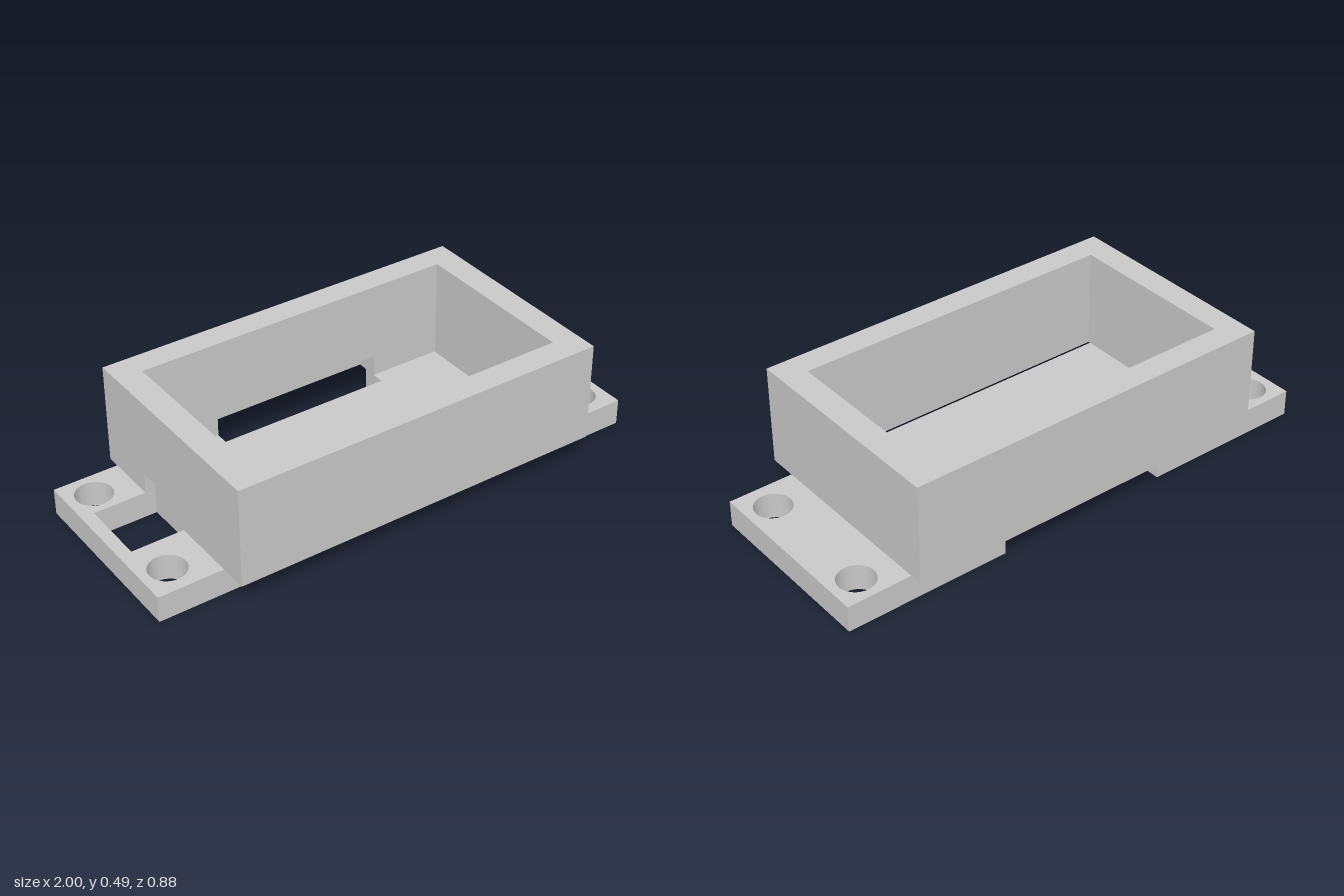
import * as THREE from 'three';
import { toCreasedNormals } from 'three/addons/utils/BufferGeometryUtils.js';

const PLATE_TOP = 0.103, RECESS_TOP = 0.188, RIM = 0.494;

// outlines are drawn in plan as [x, z]; shape y is -z
const points = (list) => list.map(([x, z]) => new THREE.Vector2(x, -z));
const rect = (x0, x1, z0, z1) => [[x0, z1], [x1, z1], [x1, z0], [x0, z0]];

// raise a plan shape from height y0 to y1
function slab(name, shape, y0, y1, material) {
  const geo = new THREE.ExtrudeGeometry(shape, { depth: y1 - y0, bevelEnabled: false, curveSegments: 32 });
  geo.rotateX(-Math.PI / 2);
  geo.translate(0, y0, 0);
  const mesh = new THREE.Mesh(toCreasedNormals(geo, 0.6), material);
  mesh.name = name;
  return mesh;
}

export function createModel() {
  const model = new THREE.Group();
  model.name = 'housing';
  const grey = new THREE.MeshStandardMaterial({ color: 0xc8c8c8 });
  grey.name = 'grey';

  // mounting plate, notched at the back, with a side slot and four screw holes
  const plate = new THREE.Shape(points([
    [-1, 0.33], [1, 0.33], [1, -0.39], [0.35, -0.39],
    [0.35, -0.29], [-0.35, -0.29], [-0.35, -0.39], [-1, -0.39],
  ]));
  plate.holes.push(new THREE.Path(points(rect(-0.95, -0.705, -0.19, 0.07))));
  for (const x of [-0.895, 0.895]) {
    for (const z of [-0.288, 0.215]) {
      plate.holes.push(new THREE.Path().absarc(x, -z, 0.07, 0, Math.PI * 2));
    }
  }
  model.add(slab('mountingPlate', plate, 0, PLATE_TOP, grey));

  // lower wall: recess outside the right end and inside the back
  const lower = new THREE.Shape(points([
    [-0.745, 0.44], [0.745, 0.44], [0.745, -0.44], [-0.745, -0.44],
    [-0.745, -0.19], [-0.705, -0.19], [-0.705, 0.07], [-0.745, 0.07],
  ]));
  lower.holes.push(new THREE.Path(points([
    [-0.643, 0.338], [0.643, 0.338], [0.643, -0.34], [0.35, -0.34],
    [0.35, -0.43], [-0.35, -0.43], [-0.35, -0.34], [-0.643, -0.34],
  ])));
  model.add(slab('lowerWall', lower, PLATE_TOP, RECESS_TOP, grey));

  // plain upper wall
  const upper = new THREE.Shape(points(rect(-0.745, 0.745, -0.44, 0.44)));
  upper.holes.push(new THREE.Path(points(rect(-0.643, 0.643, -0.34, 0.338))));
  model.add(slab('upperWall', upper, RECESS_TOP, RIM, grey));

  return model;
}
